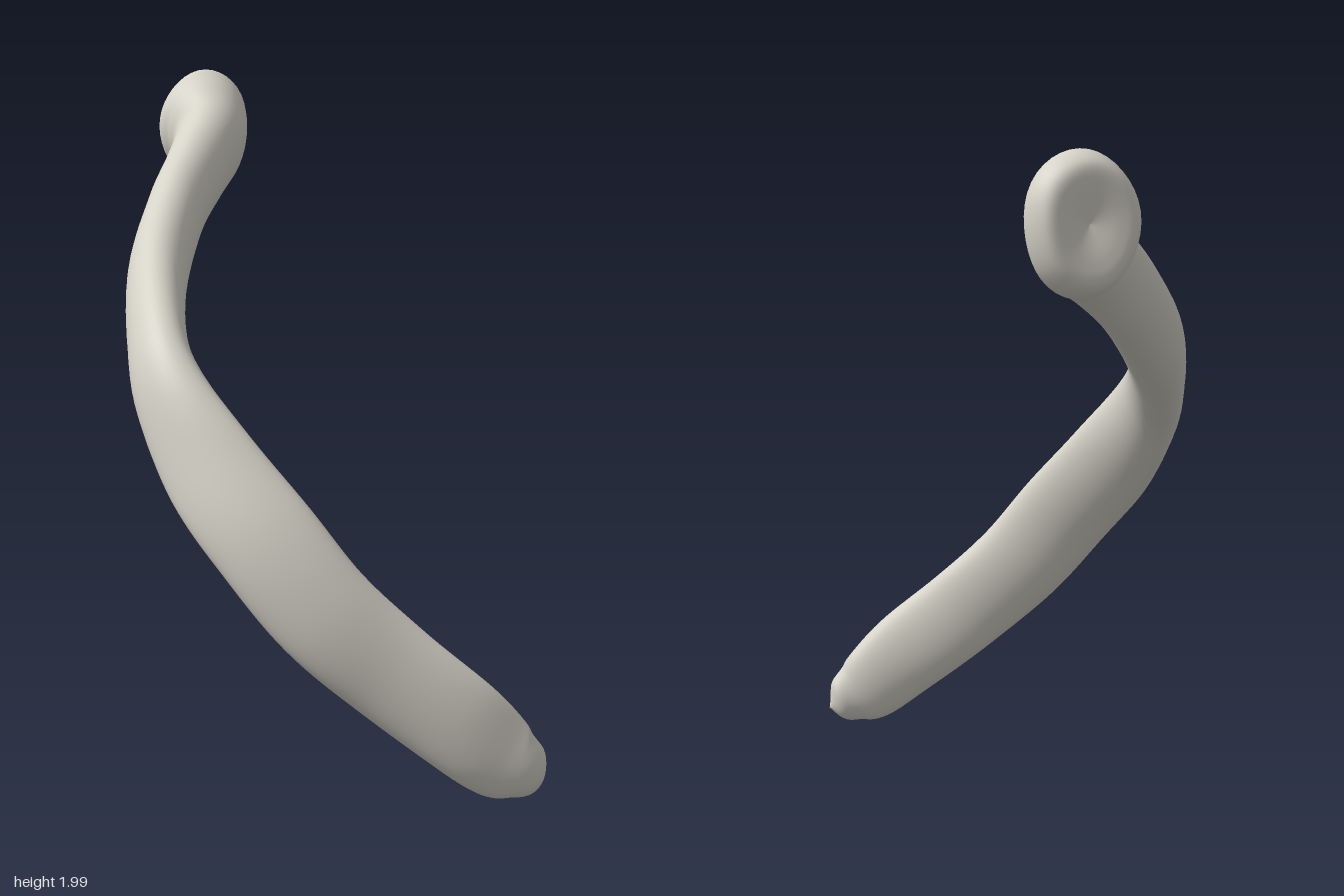
import * as THREE from 'three';

// Stations along the bone, from the blunt head down to the thin tip:
// centre x, y, z | half thickness, half width, roll | how far the cut squares up to the head face
const STATIONS = [
  [-0.855, 1.815, -0.33, 0.0, 0.0, 0, 1],
  [-0.872, 1.815, -0.33, 0.075, 0.095, 0, 1],
  [-0.868, 1.815, -0.33, 0.125, 0.155, 0, 1],
  [-0.82, 1.812, -0.33, 0.153, 0.186, 0, 1],
  [-0.77, 1.80, -0.32, 0.142, 0.178, 0, 0.85],
  [-0.70, 1.757, -0.275, 0.115, 0.148, 0, 0.4],
  [-0.60, 1.675, -0.15, 0.094, 0.128, 0, 0],
  [-0.48, 1.57, 0.0, 0.088, 0.124, 0, 0],
  [-0.28, 1.41, 0.195, 0.09, 0.128, 0.05, 0],
  [-0.07, 1.26, 0.335, 0.083, 0.12, 0.2, 0],
  [0.08, 1.13, 0.39, 0.08, 0.12, 0.35, 0],
  [0.26, 0.93, 0.363, 0.066, 0.144, 0.47, 0],
  [0.41, 0.75, 0.288, 0.068, 0.152, 0.38, 0],
  [0.53, 0.56, 0.18, 0.066, 0.15, 0.18, 0],
  [0.635, 0.39, 0.025, 0.06, 0.145, 0.06, 0],
  [0.74, 0.235, -0.135, 0.058, 0.14, 0, 0],
  [0.79, 0.125, -0.25, 0.056, 0.122, 0, 0],
  [0.815, 0.088, -0.31, 0.052, 0.092, 0, 0],
  [0.825, 0.066, -0.35, 0.042, 0.063, 0, 0],
  [0.83, 0.055, -0.382, 0.0, 0.0, 0, 0],
];
const RINGS = 152, SIDES = 40;

const spline = (i) => new THREE.CatmullRomCurve3(
  STATIONS.map((s) => new THREE.Vector3(s[i], s[i + 1], s[i + 2])), false, 'catmullrom', 0.5);

function boneGeometry() {
  const centre = spline(0), size = spline(3);
  const headDirection = new THREE.Vector3(1, -0.08, 0.08).normalize();
  const positions = [], index = [];

  for (let i = 0; i <= RINGS; i++) {
    const t = i / RINGS;
    const c = centre.getPoint(t), s = size.getPoint(t);
    const a = Math.max(s.x, 0), b = Math.max(s.y, 0), roll = s.z;

    // cut direction: along the path, turning to the head face at the blunt end
    const f = t * (STATIONS.length - 1), k = Math.min(Math.floor(f), STATIONS.length - 2);
    const w = THREE.MathUtils.lerp(STATIONS[k][6], STATIONS[k + 1][6], f - k);
    const T = centre.getPoint(Math.min(t + 0.02, 1))
      .sub(centre.getPoint(Math.max(t - 0.02, 0))).normalize();
    T.lerp(headDirection, w).normalize();

    const N = new THREE.Vector3(-T.z, 0, T.x).normalize();
    const B = new THREE.Vector3().crossVectors(T, N);
    const U = N.clone().multiplyScalar(Math.cos(roll)).addScaledVector(B, -Math.sin(roll));
    const V = B.clone().multiplyScalar(Math.cos(roll)).addScaledVector(N, Math.sin(roll));

    for (let j = 0; j < SIDES; j++) {
      const q = (j / SIDES) * Math.PI * 2;
      // faint hollow and lip around the head rim
      const lip = 1 + 0.03 * w * Math.cos(3 * q + 0.6);
      const p = c.clone()
        .addScaledVector(U, a * lip * Math.cos(q))
        .addScaledVector(V, b * Math.sin(q));
      positions.push(p.x, p.y, p.z);
    }
  }

  for (let i = 0; i < RINGS; i++) {
    for (let j = 0; j < SIDES; j++) {
      const p = i * SIDES + j, q = i * SIDES + ((j + 1) % SIDES);
      index.push(p, q, p + SIDES, q, q + SIDES, p + SIDES);
    }
  }

  const geometry = new THREE.BufferGeometry();
  geometry.setAttribute('position', new THREE.Float32BufferAttribute(positions, 3));
  geometry.setIndex(index);
  geometry.computeVertexNormals();
  return geometry;
}

export function createModel() {
  const group = new THREE.Group();
  group.name = 'ribBone';
  const bone = new THREE.MeshStandardMaterial({ color: 0xd6d3c8 });
  bone.name = 'bone';
  const shaft = new THREE.Mesh(boneGeometry(), bone);
  shaft.name = 'curvedBone';
  group.add(shaft);
  return group;
}
